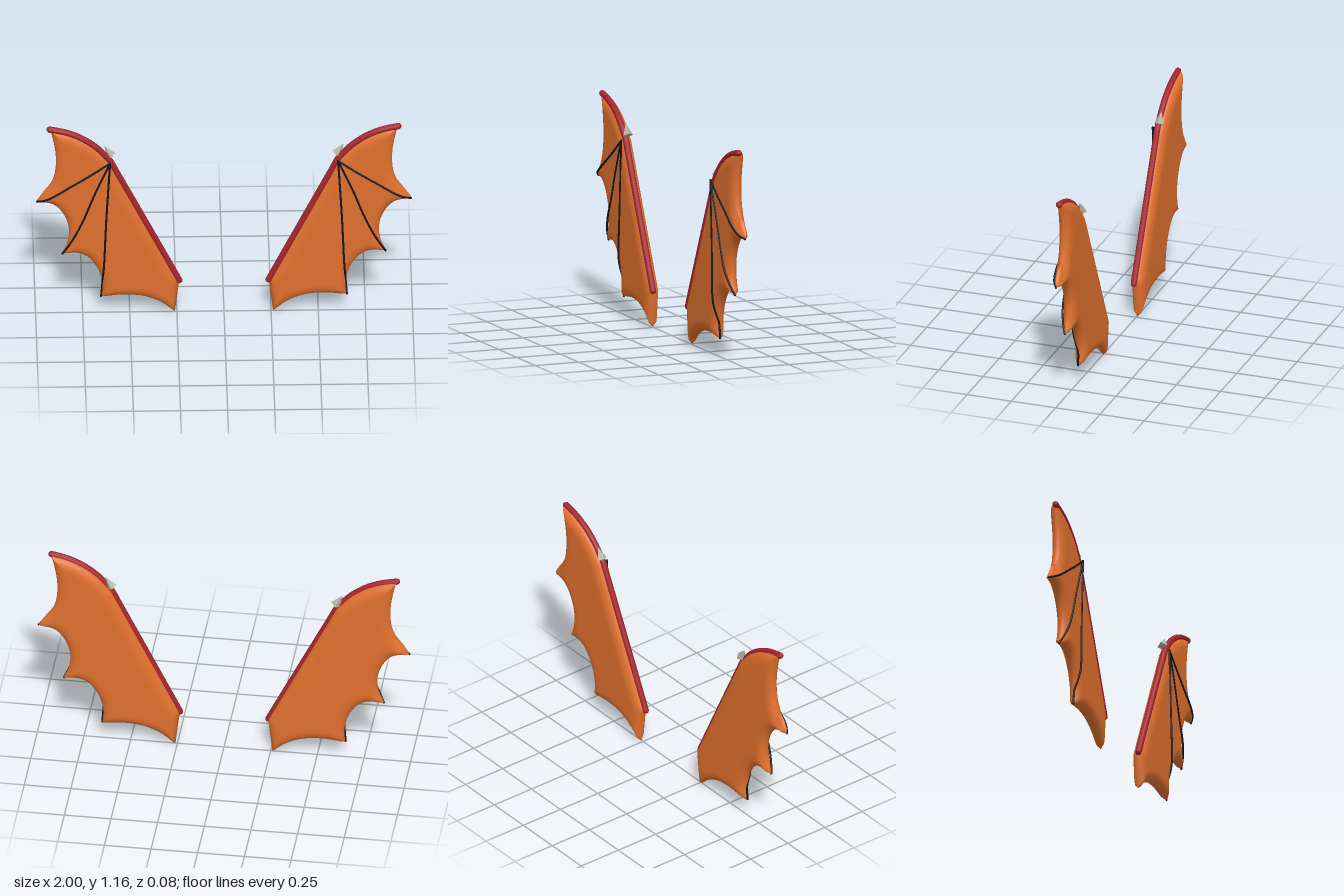
import * as THREE from 'three';
import { mergeVertices } from 'three/addons/utils/BufferGeometryUtils.js';

const mat = (color, extra = {}) => new THREE.MeshStandardMaterial({ color, ...extra });
const ORANGE = mat(0xe0702e);
const RED = mat(0xa3262d);
const BLACK = mat(0x14161f);
const BONE = mat(0xb8b4a4, { flatShading: true });

const spline = (pts) => new THREE.CatmullRomCurve3(pts.map(([x, y, z = 0]) => new THREE.Vector3(x, y, z)));

// Leading edge: straight arm from root to elbow, then a curved forearm
const ELBOW = [0.605, 0.95];
const ARM = spline([[0.237, 0.2], [0.42, 0.574], ELBOW]);
const FOREARM = spline([ELBOW, [0.675, 1.03], [0.755, 1.09], [0.84, 1.128], [0.925, 1.148]]);
const BEND = 0.55;
const leading = (t) => (t <= BEND ? ARM.getPointAt(t / BEND) : FOREARM.getPointAt((t - BEND) / (1 - BEND)));

// Trailing edge: four scallops meeting in sharp points
const SCALLOPS = [
  [[0.26, 0.0], [0.33, 0.06], [0.42, 0.1], [0.53, 0.112], [0.65, 0.1]],
  [[0.65, 0.1], [0.647, 0.19], [0.675, 0.285], [0.73, 0.355], [0.78, 0.375], [0.86, 0.37]],
  [[0.86, 0.37], [0.83, 0.44], [0.825, 0.54], [0.86, 0.63], [0.91, 0.68], [0.995, 0.695]],
  [[0.995, 0.695], [0.94, 0.765], [0.9, 0.86], [0.893, 0.98], [0.91, 1.09], [0.925, 1.148]],
].map(spline);
const trailing = (t) => {
  const i = Math.min(3, Math.floor(t * 4));
  return SCALLOPS[i].getPointAt(Math.min(1, t * 4 - i));
};

// Distance from a point to a closed outline
function edgeDistance(p, outline) {
  let best = Infinity;
  outline.forEach((a, i) => {
    const b = outline[(i + 1) % outline.length];
    const dx = b.x - a.x, dy = b.y - a.y;
    const len2 = dx * dx + dy * dy || 1e-12;
    const k = THREE.MathUtils.clamp(((p.x - a.x) * dx + (p.y - a.y) * dy) / len2, 0, 1);
    best = Math.min(best, Math.hypot(p.x - a.x - k * dx, p.y - a.y - k * dy));
  });
  return best;
}

// Cushion-like membrane: a ruled grid whose thickness rounds off near the outline
function membraneGeometry(side) {
  const COLS = 100, ROWS = 40, HALF = 0.036, ROUND = 0.06, MID = -0.003;
  const heads = [], tails = [];
  for (let i = 0; i <= COLS; i++) {
    heads.push(leading(i / COLS));
    tails.push(trailing(i / COLS));
  }
  const outline = [...heads, ...tails.slice().reverse()];
  const pos = [], idx = [];
  for (const face of [1, -1]) {
    const base = pos.length / 3;
    for (let i = 0; i <= COLS; i++) {
      for (let j = 0; j <= ROWS; j++) {
        const p = heads[i].clone().lerp(tails[i], (1 - Math.cos((Math.PI * j) / ROWS)) / 2);
        const onEdge = j === 0 || j === ROWS || i === 0 || i === COLS;
        const d = onEdge ? 0 : Math.min(1, edgeDistance(p, outline) / ROUND);
        pos.push(side * p.x, p.y, MID + face * HALF * Math.sqrt(1 - (1 - d) ** 2));
      }
    }
    for (let i = 0; i < COLS; i++) {
      for (let j = 0; j < ROWS; j++) {
        const a = base + i * (ROWS + 1) + j, b = a + 1, c = a + ROWS + 1, d = c + 1;
        if (face * side > 0) idx.push(a, b, c, b, d, c);
        else idx.push(a, c, b, b, c, d);
      }
    }
  }
  let geo = new THREE.BufferGeometry();
  geo.setAttribute('position', new THREE.Float32BufferAttribute(pos, 3));
  geo.setIndex(idx);
  geo = mergeVertices(geo, 1e-5);
  geo.computeVertexNormals();
  return geo;
}

// Round rod along a path, with ball ends
function rod(name, points, radius, material, side, segments) {
  const group = new THREE.Group();
  group.name = name;
  const path = spline(points.map(([x, y, z]) => [side * x, y, z]));
  group.add(new THREE.Mesh(new THREE.TubeGeometry(path, segments, radius, 12), material));
  for (const end of [0, 1]) {
    const ball = new THREE.Mesh(new THREE.SphereGeometry(radius, 12, 8), material);
    ball.position.copy(path.getPoint(end));
    group.add(ball);
  }
  group.children.forEach((m) => (m.name = name + 'Part'));
  return group;
}

// Thin ribs from the elbow over the front face, dipping to each scallop point
const F = 0.035;
const RIBS = [
  [[...ELBOW, F], [0.625, 0.6, F], [0.638, 0.3, F], [0.643, 0.23, 0.018], [0.646, 0.18, 0.002], [0.652, 0.1, 0]],
  [[...ELBOW, F], [0.685, 0.76, F], [0.745, 0.6, F], [0.79, 0.5, F], [0.83, 0.42, 0.02], [0.857, 0.368, 0]],
  [[...ELBOW, F], [0.7, 0.88, F], [0.8, 0.813, F], [0.91, 0.74, F], [0.955, 0.713, 0.024], [0.993, 0.694, 0]],
];

function wing(side) {
  const group = new THREE.Group();
  group.name = side > 0 ? 'leftWing' : 'rightWing';

  const membrane = new THREE.Mesh(membraneGeometry(side), ORANGE);
  membrane.name = 'membrane';
  group.add(membrane);

  // Leading-edge bone
  const bone = [];
  for (let i = 0; i <= 20; i++) {
    const p = leading(i / 20);
    bone.push([p.x, p.y, 0.008]);
  }
  group.add(rod('leadingBone', bone, 0.017, RED, side, 80));

  RIBS.forEach((r, i) => group.add(rod('rib' + (i + 1), r, 0.0055, BLACK, side, 48)));

  // Thorn at the elbow
  const thorn = new THREE.Mesh(new THREE.ConeGeometry(0.028, 0.07, 4), BONE);
  thorn.name = 'elbowThorn';
  thorn.position.set(side * 0.617, 1.007, -0.003);
  thorn.rotation.z = -side * 0.53;
  group.add(thorn);
  return group;
}

export function createModel() {
  const model = new THREE.Group();
  model.name = 'batWings';
  model.add(wing(1), wing(-1));
  return model;
}
